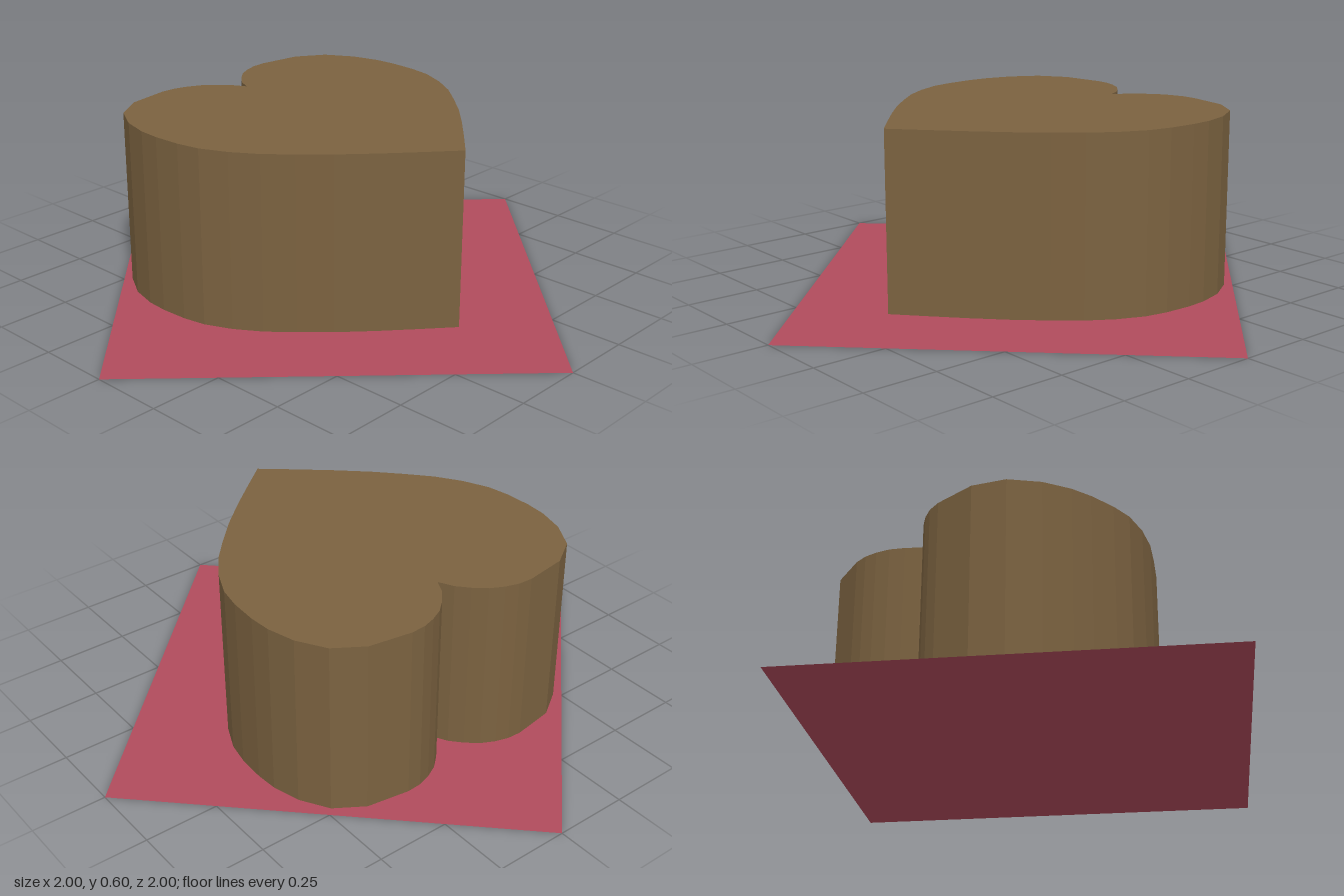
import * as THREE from 'three';

// Right half of the heart outline as [x, z], from the notch round to the tip
const HALF_HEART = [
  [0, -0.4], [0.025, -0.45], [0.06, -0.49], [0.1, -0.525], [0.145, -0.548], [0.19, -0.562],
  [0.24, -0.565], [0.385, -0.542], [0.48, -0.48], [0.535, -0.385], [0.56, -0.29],
  [0.565, -0.215], [0.56, -0.12], [0.545, -0.04], [0.505, 0.05], [0.45, 0.135],
  [0.38, 0.215], [0.3, 0.3], [0.2, 0.393], [0.1, 0.48], [0, 0.565],
];

export function createModel() {
  const group = new THREE.Group();

  // Square sheet turned to stand on its corner
  const side = Math.SQRT2;
  const sheet = new THREE.Mesh(
    new THREE.PlaneGeometry(side, side).rotateZ(Math.PI / 4).rotateX(-Math.PI / 2),
    new THREE.MeshStandardMaterial({ color: 0xb04b5c, side: THREE.DoubleSide })
  );
  sheet.name = 'groundSheet';
  group.add(sheet);

  // Heart block: mirrored outline, extruded upwards with flat facets
  const mirrored = HALF_HEART.slice(1, -1).reverse().map(([x, z]) => [-x, z]);
  const outline = [...HALF_HEART, ...mirrored].map(([x, z]) => new THREE.Vector2(x, z));
  const height = 0.598;
  const geometry = new THREE.ExtrudeGeometry(new THREE.Shape(outline), { depth: height, bevelEnabled: false });
  geometry.rotateX(Math.PI / 2).translate(0, height + 0.002, 0);
  const heart = new THREE.Mesh(
    geometry,
    new THREE.MeshStandardMaterial({ color: 0x7b6240, flatShading: true })
  );
  heart.name = 'heartBlock';
  group.add(heart);

  return group;
}
